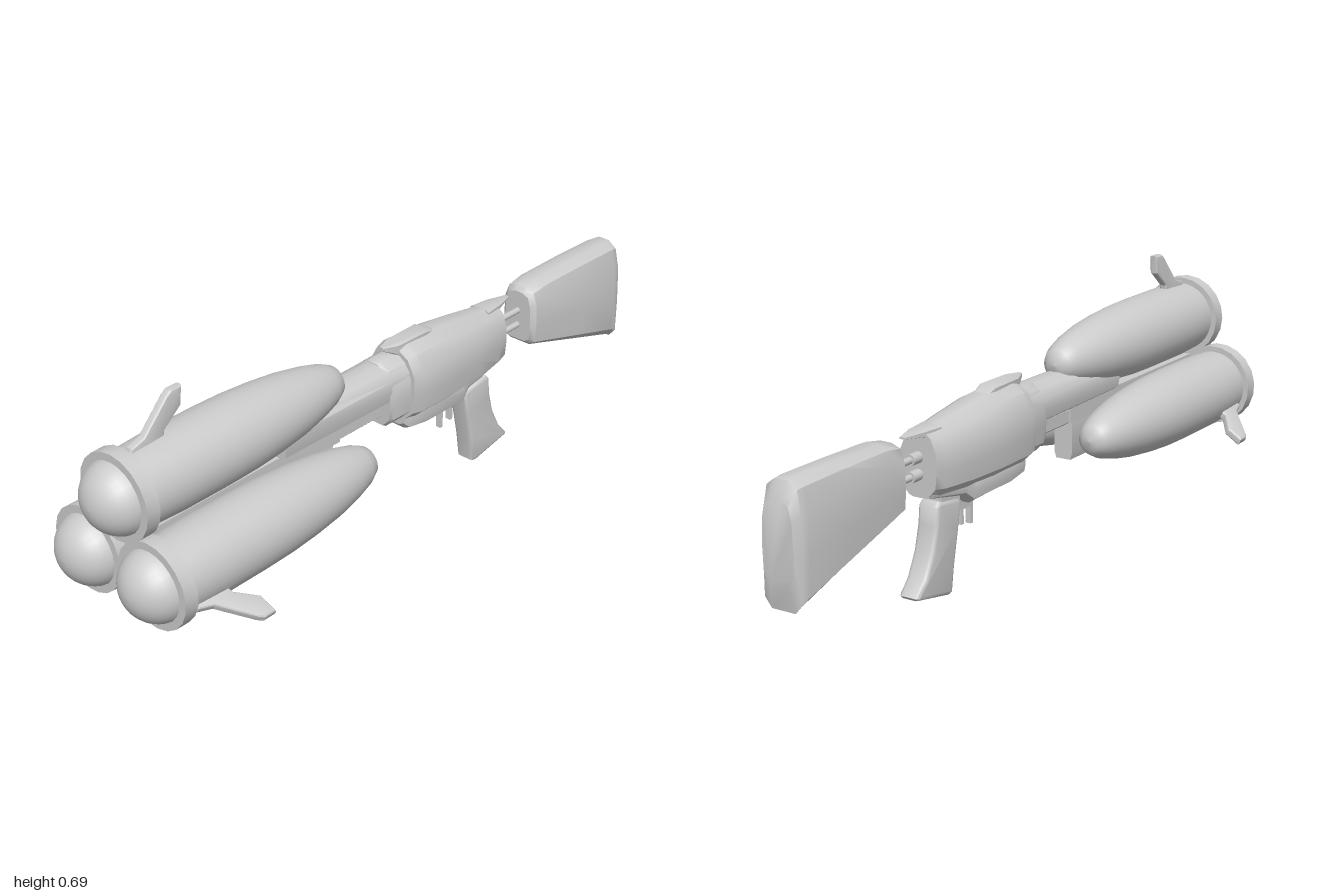
import * as THREE from 'three';
import { toCreasedNormals } from 'three/addons/utils/BufferGeometryUtils.js';

const material = new THREE.MeshStandardMaterial({ color: 0xcccccc, side: THREE.DoubleSide });
const AXIS_Y = 0.353; // height of the axis the three pods are arranged around

function add(parent, name, geometry) {
  const mesh = new THREE.Mesh(geometry, material);
  mesh.name = name;
  parent.add(mesh);
  return mesh;
}

function box(parent, name, x0, x1, y0, y1, z0, z1) {
  const g = new THREE.BoxGeometry(x1 - x0, y1 - y0, z1 - z0);
  return add(parent, name, g.translate((x0 + x1) / 2, (y0 + y1) / 2, (z0 + z1) / 2));
}

// Round rod along z
function rod(parent, name, y, z0, z1, r) {
  const g = new THREE.CylinderGeometry(r, r, z1 - z0, 12).rotateX(Math.PI / 2);
  return add(parent, name, g.translate(0, y, (z0 + z1) / 2));
}

// Half sections as [x fraction of half width, y fraction of height], bottom to top
const SHELL = [[0.55, 0], [0.92, 0.14], [1, 0.4], [0.97, 0.68], [0.68, 0.9], [0.25, 1]];
const BLOCK = [[0.8, 0], [1, 0.12], [1, 0.85], [0.75, 1]];
const STOCK = [[0.6, 0], [0.95, 0.08], [1, 0.4], [0.95, 0.75], [0.75, 0.94], [0.3, 1]];

// Skin mirrored sections; each station is [z, halfWidth, yBottom, yTop, lean], front to back
function loft(half, stations, crease = 0.6) {
  const ring = [...half, ...half.map(([x, y]) => [-x, y]).reverse()];
  const n = ring.length, pos = [], idx = [];
  for (const [z, w, y0, y1, lean = 0] of stations)
    for (const [x, y] of ring) pos.push(x * w, y0 + y * (y1 - y0), z + lean * (y - 0.5));
  for (let i = 0; i < stations.length - 1; i++)
    for (let j = 0; j < n; j++) {
      const a = i * n + j, b = i * n + (j + 1) % n;
      idx.push(a, a + n, b, b, a + n, b + n);
    }
  const last = (stations.length - 1) * n;
  for (let j = 1; j < n - 1; j++) idx.push(0, j, j + 1, last, last + j + 1, last + j);
  const g = new THREE.BufferGeometry();
  g.setAttribute('position', new THREE.Float32BufferAttribute(pos, 3));
  g.setIndex(idx);
  return toCreasedNormals(g, crease);
}

// Extrude a (z, y) outline across x, centred on x = 0
function plate(points, thickness, bevel, smooth = 0.6) {
  const shape = new THREE.Shape(points.map(([z, y]) => new THREE.Vector2(-z, y)));
  const g = new THREE.ExtrudeGeometry(shape, {
    depth: thickness - 2 * bevel, bevelThickness: bevel, bevelSize: bevel,
    bevelOffset: -bevel, bevelSegments: 3,
  });
  g.translate(0, 0, bevel - thickness / 2).rotateY(Math.PI / 2);
  return toCreasedNormals(g, smooth);
}

function lathe(points, segments) {
  const g = new THREE.LatheGeometry(points.map(([r, z]) => new THREE.Vector2(r, z)), segments);
  return g.rotateX(Math.PI / 2);
}

// One pod with its collar, domed nose and fin, pointing outwards along +y
function makePod(index) {
  const pod = new THREE.Group();
  pod.name = 'pod' + (index + 1);
  const y = 0.13;
  const tail = [[0, 0.17], [0.024, 0.174], [0.042, 0.187], [0.058, 0.22], [0.073, 0.275],
    [0.087, 0.35], [0.097, 0.44], [0.103, 0.53], [0.105, 0.62], [0.105, 0.78], [0.1, 0.89]];
  add(pod, 'podBody', lathe(tail, 32)).position.y = y;

  const ring = new THREE.CylinderGeometry(0.117, 0.117, 0.04, 20).rotateX(Math.PI / 2);
  add(pod, 'podCollar', toCreasedNormals(ring, 0.5)).position.set(0, y, 0.905);

  const dome = [];
  for (let i = 0; i <= 10; i++) {
    const t = (i / 10) * Math.PI / 2;
    dome.push([0.098 * Math.cos(t), 0.905 + 0.095 * Math.sin(t)]);
  }
  add(pod, 'podNose', lathe(dome, 24)).position.y = y;

  // Swept fin
  add(pod, 'fin', plate([[0.88, 0.215], [0.87, 0.24], [0.83, 0.252], [0.755, 0.332],
    [0.74, 0.342], [0.705, 0.342], [0.71, 0.29], [0.765, 0.245], [0.77, 0.215]], 0.024, 0.008, 0.4));

  pod.position.y = AXIS_Y;
  pod.rotation.z = index * Math.PI * 2 / 3;
  return pod;
}

export function createModel() {
  const model = new THREE.Group();
  model.name = 'launcher';

  for (let i = 0; i < 3; i++) model.add(makePod(i));

  // Spine and hanging block that hold the pods together
  box(model, 'podSpine', -0.035, 0.035, 0.32, 0.372, 0.2, 0.88);
  add(model, 'podBracket', loft(BLOCK, [[0.5, 0.022, 0.25, 0.36], [0.42, 0.028, 0.21, 0.36],
    [0.22, 0.028, 0.21, 0.36]], 0.4));

  // Barrel, tube below it and collar in front of the receiver
  add(model, 'barrel', loft(SHELL, [[0.42, 0.06, 0.365, 0.465], [0.03, 0.063, 0.36, 0.468],
    [-0.06, 0.063, 0.36, 0.468]]));
  add(model, 'lowerTube', loft(BLOCK, [[0.24, 0.03, 0.318, 0.365], [0.02, 0.03, 0.318, 0.365]]));
  add(model, 'barrelCollar', loft(SHELL, [[0.035, 0.062, 0.295, 0.47], [0.025, 0.066, 0.29, 0.475],
    [-0.06, 0.068, 0.29, 0.475]]));

  // Receiver shell, belly, and the ridge along its top
  add(model, 'receiver', loft(SHELL, [[-0.04, 0.08, 0.285, 0.487], [-0.07, 0.087, 0.28, 0.495],
    [-0.2, 0.086, 0.278, 0.49], [-0.32, 0.077, 0.28, 0.474], [-0.42, 0.064, 0.285, 0.46],
    [-0.455, 0.055, 0.29, 0.458]]));
  add(model, 'receiverBelly', loft(SHELL, [[-0.04, 0.045, 0.262, 0.32], [-0.055, 0.055, 0.246, 0.32],
    [-0.12, 0.058, 0.235, 0.32], [-0.28, 0.052, 0.228, 0.32], [-0.31, 0.045, 0.255, 0.32],
    [-0.45, 0.038, 0.283, 0.32]]));
  add(model, 'topRidge', loft(BLOCK, [[0.003, 0.006, 0.493, 0.503], [-0.04, 0.024, 0.47, 0.505],
    [-0.15, 0.026, 0.465, 0.505], [-0.19, 0.02, 0.46, 0.488]]));
  add(model, 'rearTongue', loft(BLOCK, [[-0.4, 0.032, 0.43, 0.463], [-0.46, 0.024, 0.444, 0.46],
    [-0.52, 0.007, 0.451, 0.456]]));

  // Twin rods carrying the stock, with seats at the receiver
  for (const y of [0.39, 0.345]) {
    rod(model, 'stockRod', y, -0.62, -0.43, 0.009);
    rod(model, 'rodSeat', y, -0.49, -0.44, 0.015);
  }

  // Flared shoulder stock
  add(model, 'stock', loft(STOCK, [[-0.572, 0.045, 0.3, 0.448], [-0.585, 0.058, 0.288, 0.462],
    [-0.64, 0.061, 0.272, 0.472], [-0.8, 0.062, 0.222, 0.475], [-0.955, 0.062, 0.172, 0.475, 0.01],
    [-0.975, 0.058, 0.16, 0.472, 0.008], [-0.993, 0.045, 0.23, 0.43]], 0.7));

  // Pistol grip with rounded edges, fuller in the middle
  const grip = plate([[-0.305, 0.24], [-0.32, 0.252], [-0.4, 0.262], [-0.413, 0.25], [-0.418, 0.2],
    [-0.435, 0.135], [-0.465, 0.075], [-0.5, 0.035], [-0.495, 0.028], [-0.36, 0.002],
    [-0.348, 0.006], [-0.337, 0.08], [-0.318, 0.17]], 0.062, 0.012, 0.8);
  add(model, 'grip', grip).position.x = 0.004;
  box(model, 'gripNeck', -0.022, 0.026, 0.235, 0.3, -0.39, -0.31);

  // Trigger assembly
  box(model, 'triggerRail', -0.008, 0.008, 0.205, 0.235, -0.31, -0.23);
  for (const [z, y] of [[-0.237, 0.157], [-0.278, 0.165]])
    box(model, 'triggerProng', -0.008, 0.008, y, 0.235, z - 0.005, z + 0.005);

  return model;
}
